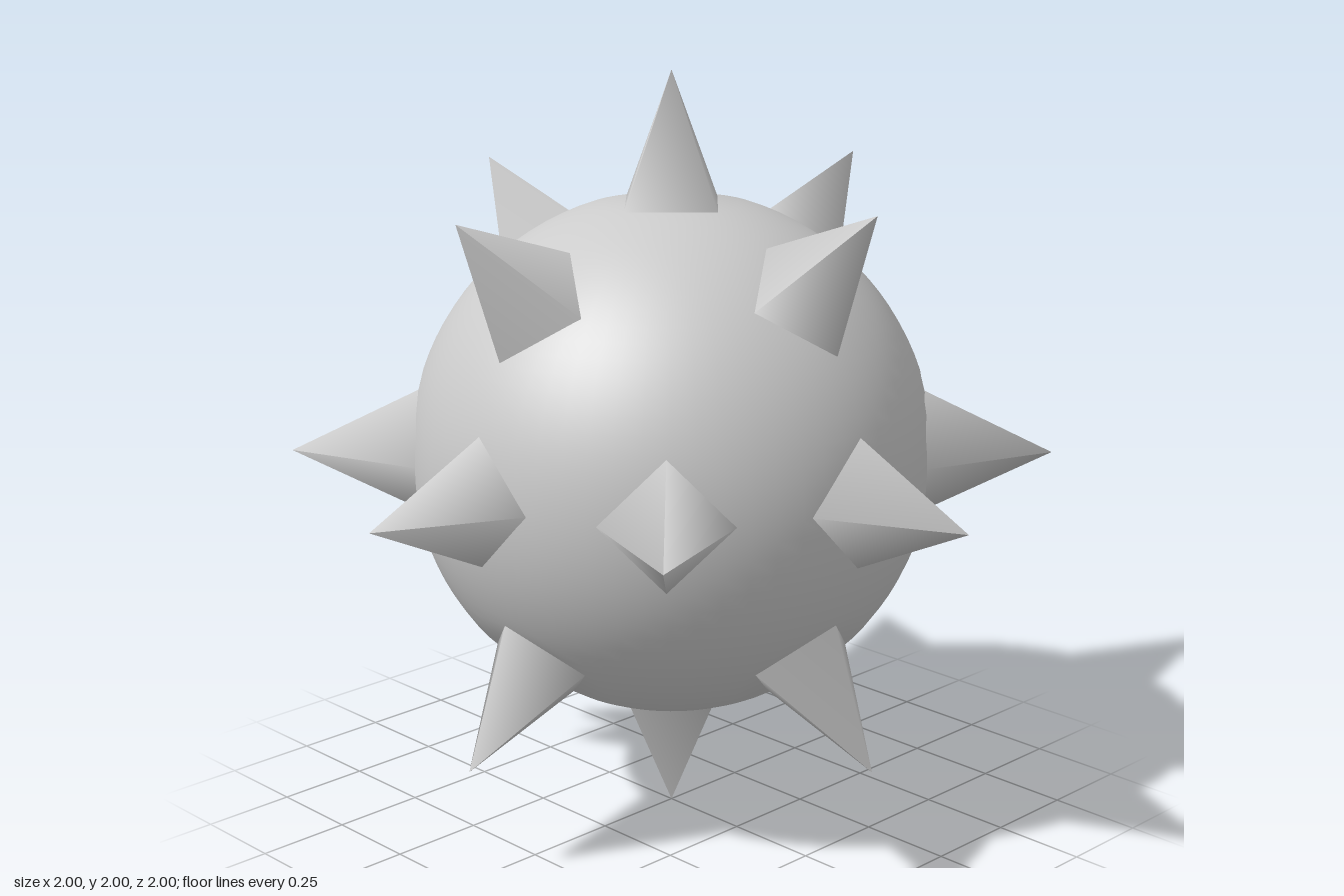
import * as THREE from 'three';

const RADIUS = 0.685, SEAT = 0.657, TIP = 1, BASE = 0.17;

// Directions of the 18 spikes: six on the axes, twelve on the diagonals
function spikeDirections() {
  const dirs = [];
  for (const s of [-1, 1]) {
    dirs.push([s, 0, 0], [0, s, 0], [0, 0, s]);
    for (const t of [-1, 1]) {
      dirs.push([s - 0.018 * t, t + 0.018 * s, 0]); // ring turned slightly about z
      dirs.push([0, s * (1 - 0.02 * t), t]);
      dirs.push([s * (1 - 0.018 * t), 0, t]);
    }
  }
  return dirs.map((d) => new THREE.Vector3(...d).normalize());
}

// Ball with a small flat seat under every spike, shaded as a sphere
function makeBody(dirs, material) {
  const geometry = new THREE.SphereGeometry(RADIUS, 64, 48);
  const pos = geometry.attributes.position;
  const v = new THREE.Vector3();
  for (let i = 0; i < pos.count; i++) {
    v.fromBufferAttribute(pos, i);
    for (const d of dirs) {
      const over = v.dot(d) - SEAT;
      if (over > 0) v.addScaledVector(d, -over);
    }
    pos.setXYZ(i, v.x, v.y, v.z);
  }
  const body = new THREE.Mesh(geometry, material);
  body.name = 'body';
  return body;
}

// Four-sided spike, one pair of corners along the world axis most square to it
function makeSpike(dir, geometry, material) {
  const abs = dir.toArray().map(Math.abs);
  const side = new THREE.Vector3().setComponent(abs.indexOf(Math.min(...abs)), 1);
  side.addScaledVector(dir, -side.dot(dir)).normalize();
  const third = new THREE.Vector3().crossVectors(side, dir);
  const spike = new THREE.Mesh(geometry, material);
  spike.quaternion.setFromRotationMatrix(new THREE.Matrix4().makeBasis(side, dir, third));
  spike.position.copy(dir).multiplyScalar((TIP + SEAT - 0.005) / 2);
  spike.name = 'spike';
  return spike;
}

export function createModel() {
  const group = new THREE.Group();
  group.name = 'spikedBall';
  const material = new THREE.MeshStandardMaterial({ color: 0xcccccc });
  const dirs = spikeDirections();
  group.add(makeBody(dirs, material));
  const cone = new THREE.ConeGeometry(BASE, TIP - SEAT + 0.005, 4);
  for (const d of dirs) group.add(makeSpike(d, cone, material));
  group.children.forEach((part) => { part.position.y += 1; });
  return group;
}
